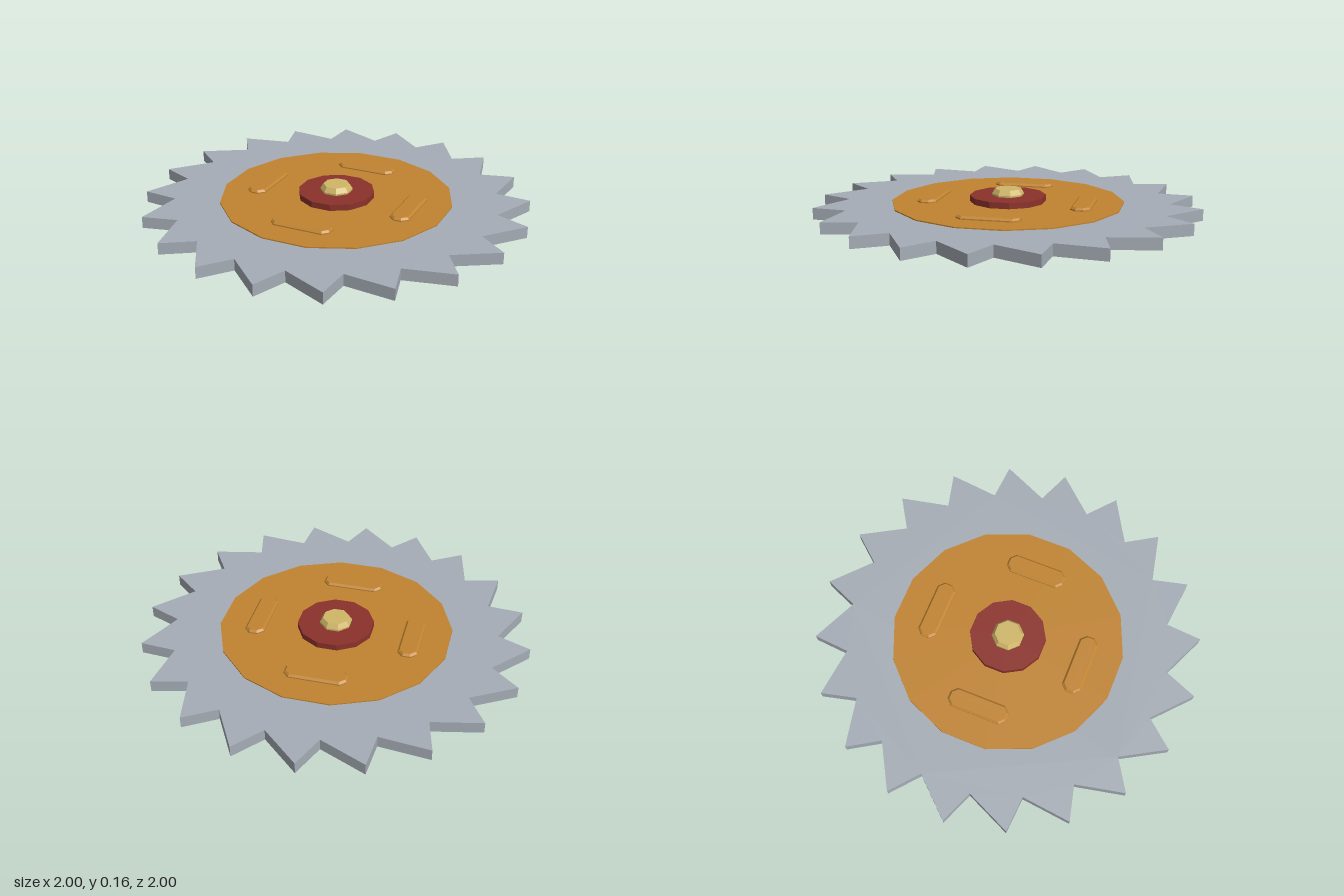
import * as THREE from 'three';

const paint = (name, color) => {
  const m = new THREE.MeshStandardMaterial({ color, flatShading: true });
  m.name = name;
  return m;
};

// Flat shape turned to lie on the ground plane, extruded upwards from y
function slab(points, depth, y, bevel = 0) {
  const geo = new THREE.ExtrudeGeometry(new THREE.Shape(points), {
    depth, bevelEnabled: bevel > 0, bevelSegments: 1,
    bevelSize: bevel, bevelThickness: bevel, bevelOffset: -bevel,
  });
  return geo.rotateX(-Math.PI / 2).translate(0, y, 0);
}

// Faceted disc with a flat side towards each axis
function disc(rTop, rBottom, y0, y1, sides) {
  return new THREE.CylinderGeometry(rTop, rBottom, y1 - y0, sides)
    .rotateY(Math.PI / sides).translate(0, (y0 + y1) / 2, 0);
}

export function createModel() {
  const steel = paint('steel', 0xa6adb6);
  const orange = paint('orange', 0xc18431);
  const red = paint('red', 0x8c322b);
  const brass = paint('brass', 0xd0b768);

  const model = new THREE.Group();
  model.name = 'sawBlade';
  const add = (name, geo, mat) => {
    const mesh = new THREE.Mesh(geo, mat);
    mesh.name = name;
    model.add(mesh);
    return mesh;
  };

  // Toothed blade: alternate valley and leaning tip, clockwise
  const teeth = 20;
  const outline = [];
  const polar = (r, deg) => {
    const a = THREE.MathUtils.degToRad(deg);
    return new THREE.Vector2(r * Math.sin(a), r * Math.cos(a));
  };
  for (let i = 0; i < teeth; i++) {
    const start = (i * 360) / teeth;
    outline.push(polar(0.838, start - 9), polar(1.002, start - 3.5));
  }
  add('blade', slab(outline, 0.06, 0.028), steel);

  // Painted plate on both faces, and the hub through it
  add('plate', disc(0.605, 0.605, 0.021, 0.094, 16), orange);
  add('hub', disc(0.198, 0.198, 0, 0.126, 12), red);

  // Bolt head with a chamfered top
  add('boltBase', disc(0.084, 0.084, 0.12, 0.135, 8), brass);
  add('boltTop', disc(0.068, 0.084, 0.135, 0.16, 8), brass);

  // Four raised ribs with cut corners
  const hx = 0.16, hy = 0.051, c = 0.03;
  const rib = [
    [-hx + c, -hy], [hx - c, -hy], [hx, -hy + c], [hx, hy - c],
    [hx - c, hy], [-hx + c, hy], [-hx, hy - c], [-hx, -hy + c],
  ].map(([x, y]) => new THREE.Vector2(x, y));
  const ribGeo = slab(rib, 0.012, 0.088, 0.01).translate(0, 0, 0.402);
  for (let i = 0; i < 4; i++) add('rib' + (i + 1), ribGeo, orange).rotation.y = (i * Math.PI) / 2;

  return model;
}
